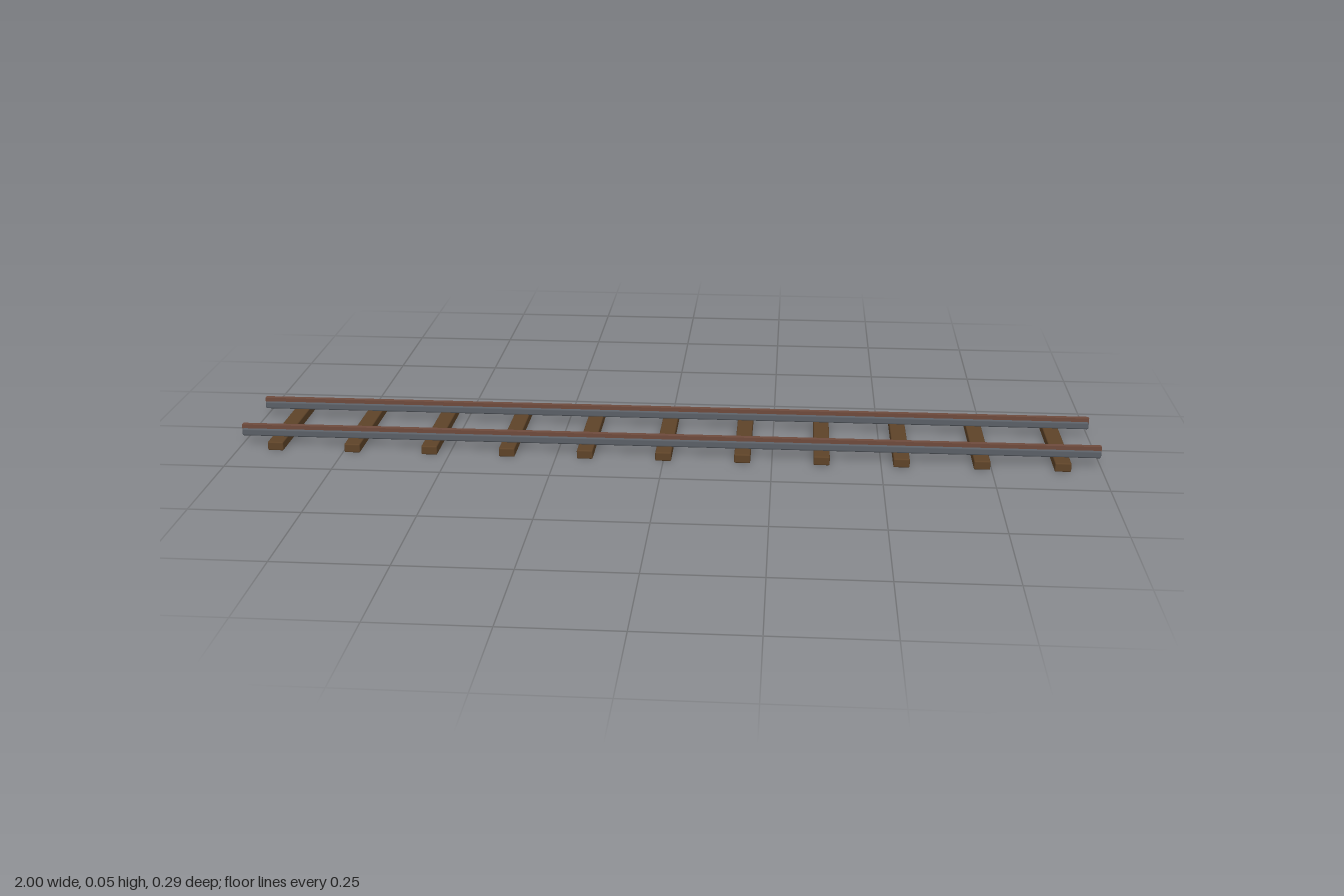
import * as THREE from 'three';
import { RoundedBoxGeometry } from 'three/addons/geometries/RoundedBoxGeometry.js';

export function createModel() {
  const track = new THREE.Group();
  track.name = 'railwayTrack';

  const wood = new THREE.MeshStandardMaterial({ color: 0x5e4328 });
  const steel = new THREE.MeshStandardMaterial({ color: 0x5a5f66 });
  const rust = new THREE.MeshStandardMaterial({ color: 0x6e4a3c });

  const add = (name, geometry, material, x, y, z) => {
    const mesh = new THREE.Mesh(geometry, material);
    mesh.name = name;
    mesh.position.set(x, y, z);
    track.add(mesh);
  };

  // Evenly spaced wooden sleepers with softened edges
  const sleeper = new RoundedBoxGeometry(0.037, 0.021, 0.287, 2, 0.003);
  for (let i = -5; i <= 5; i++) add('sleeper', sleeper, wood, i * 0.182, 0.0105, 0);

  // Two rails: a wide steel body carrying a narrower rusty head
  const body = new RoundedBoxGeometry(2, 0.018, 0.02, 2, 0.004);
  const head = new THREE.BoxGeometry(2, 0.012, 0.0125);
  for (const side of [-1, 1]) {
    const name = side > 0 ? 'front' : 'back';
    add(name + 'RailBody', body, steel, 0, 0.0289, side * 0.095);
    add(name + 'RailHead', head, rust, 0, 0.041, side * 0.095);
  }

  return track;
}
